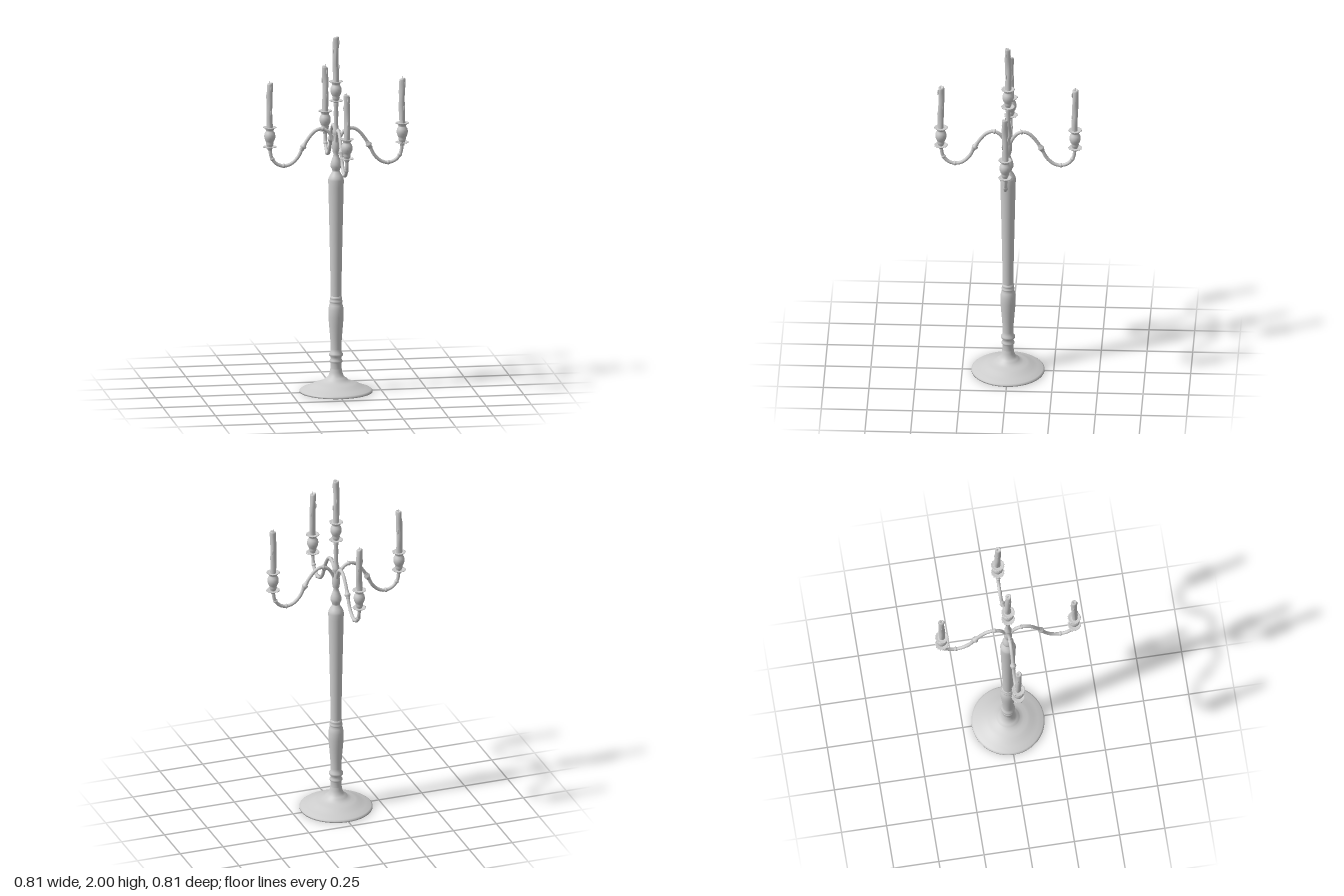
import * as THREE from 'three';

const metal = new THREE.MeshStandardMaterial({ color: 0xcccccc, side: THREE.DoubleSide });
const UP = new THREE.Vector3(0, 1, 0);

function add(parent, geometry, name) {
  const mesh = new THREE.Mesh(geometry, metal);
  mesh.name = name;
  parent.add(mesh);
  return mesh;
}

// Lathe from [radius, height] pairs listed bottom to top
function lathe(points, segments = 32) {
  return new THREE.LatheGeometry(points.map(([r, y]) => new THREE.Vector2(r, y)), segments);
}

// Moves every vertex by a rule
function reshape(geometry, rule) {
  const pos = geometry.attributes.position;
  const v = new THREE.Vector3();
  for (let i = 0; i < pos.count; i++) {
    rule(v.fromBufferAttribute(pos, i));
    pos.setXYZ(i, v.x, v.y, v.z);
  }
  geometry.computeVertexNormals();
  return geometry;
}

// Thin dish with a scalloped rim
function scallopedPan(radius) {
  const g = lathe([[0, -0.003], [radius * 0.6, -0.003], [radius, 0.001], [radius, 0.004],
    [radius * 0.85, 0.004], [radius * 0.6, 0.001], [0, 0.001]], 64);
  return reshape(g, (v) => {
    const r = Math.hypot(v.x, v.z);
    const k = 1 + 0.05 * Math.cos(16 * Math.atan2(v.z, v.x)) * (r / radius) ** 3;
    v.x *= k;
    v.z *= k;
  });
}

// Holder with two pans and a slightly melted candle; origin at the lower pan
function candleHolder(seed) {
  const group = new THREE.Group();
  group.name = 'candleHolder';
  add(group, lathe([[0, -0.015], [0.011, -0.015], [0.014, -0.004], [0.014, 0.004], [0.018, 0.012],
    [0.021, 0.022], [0.019, 0.028], [0.024, 0.036], [0.03, 0.052], [0.031, 0.066], [0.028, 0.08],
    [0.021, 0.09], [0.021, 0.096], [0.027, 0.106], [0.027, 0.11], [0, 0.11]], 24), 'socket');
  add(group, scallopedPan(0.036), 'lowerPan').position.y = 0.001;
  add(group, scallopedPan(0.036), 'upperPan').position.y = 0.109;

  // Candle with a rounded, uneven top
  const profile = [[0.0165, 0.108]];
  for (let i = 1; i <= 12; i++) profile.push([0.0165, 0.108 + i * 0.0203]);
  profile.push([0.015, 0.358], [0.011, 0.361], [0.006, 0.356], [0, 0.355]);
  const candle = reshape(lathe(profile, 20), (v) => {
    const a = Math.atan2(v.z, v.x);
    const k = 1 + 0.05 * Math.sin(3 * a + seed + v.y * 14) + 0.04 * Math.sin(2 * a - seed + v.y * 45);
    v.x = v.x * k + 0.002 * Math.sin(v.y * 16 + seed);
    v.z = v.z * k + 0.002 * Math.cos(v.y * 16 + seed);
    if (v.y > 0.35) v.y += 0.003 * Math.sin(a + seed);
  });
  add(group, candle, 'candle');
  for (let i = 0; i < 4; i++) {
    const a = seed + i * 2.1;
    const drip = add(group, new THREE.SphereGeometry(0.004, 8, 6), 'waxDrip');
    drip.scale.y = 4;
    drip.position.set(Math.cos(a) * 0.0165, 0.33 - i * 0.045, Math.sin(a) * 0.0165);
  }
  add(group, new THREE.CylinderGeometry(0.0012, 0.0015, 0.016, 6), 'wick').position.y = 0.364;
  return group;
}

// Curved arm reaching along +x with beads, a curl tip and a candle holder
function buildArm(seed) {
  const arm = new THREE.Group();
  arm.name = 'arm';
  const path = new THREE.CatmullRomCurve3([
    [0.006, 1.385], [0.022, 1.425], [0.05, 1.462], [0.085, 1.474], [0.12, 1.46], [0.155, 1.42],
    [0.185, 1.37], [0.212, 1.318], [0.25, 1.283], [0.29, 1.273], [0.33, 1.287], [0.357, 1.322],
    [0.367, 1.375],
  ].map(([x, y]) => new THREE.Vector3(x, y, 0)));
  add(arm, new THREE.TubeGeometry(path, 72, 0.0095, 10, false), 'armTube');

  const collar = lathe([[0.009, -0.024], [0.012, -0.018], [0.011, -0.011], [0.017, -0.004],
    [0.017, 0.004], [0.011, 0.011], [0.012, 0.018], [0.009, 0.024]], 14);
  const ring = lathe([[0.009, -0.008], [0.0125, -0.003], [0.0125, 0.003], [0.009, 0.008]], 12);
  for (const [t, geometry, name] of [[0.225, ring, 'ring'], [0.49, collar, 'collar'], [0.75, ring, 'ring'], [0.9, ring, 'ring']]) {
    const bead = add(arm, geometry, name);
    bead.position.copy(path.getPoint(t));
    bead.quaternion.setFromUnitVectors(UP, path.getTangent(t));
  }
  const curl = add(arm, new THREE.ConeGeometry(0.007, 0.032, 8), 'curlTip');
  curl.position.set(0.074, 1.481, 0);
  curl.rotation.z = 0.75;

  const holder = candleHolder(seed);
  holder.position.set(0.367, 1.38, 0);
  arm.add(holder);
  return arm;
}

export function createModel() {
  const model = new THREE.Group();
  model.name = 'candelabra';

  // Domed foot
  add(model, lathe([[0, 0], [0.2, 0], [0.2, 0.008], [0.192, 0.014], [0.165, 0.024], [0.14, 0.034],
    [0.122, 0.044], [0.105, 0.05], [0.085, 0.056], [0.066, 0.064], [0.062, 0.072], [0.05, 0.08],
    [0.04, 0.092], [0.034, 0.11], [0.031, 0.13]], 48), 'foot');

  // Turned lower shaft with rings and a vase-shaped swelling
  add(model, lathe([[0.031, 0.13], [0.03, 0.16], [0.035, 0.167], [0.035, 0.175], [0.03, 0.182],
    [0.031, 0.196], [0.038, 0.203], [0.038, 0.213], [0.031, 0.222], [0.029, 0.24], [0.032, 0.3],
    [0.038, 0.37], [0.042, 0.42], [0.042, 0.46], [0.037, 0.485], [0.032, 0.495], [0.036, 0.502],
    [0.036, 0.508], [0.031, 0.515], [0.034, 0.522], [0.034, 0.528], [0.029, 0.535]]), 'lowerShaft');

  // Long tapering column
  add(model, lathe([[0.029, 0.535], [0.03, 0.6], [0.034, 0.8], [0.038, 0.98], [0.042, 1.15],
    [0.043, 1.185], [0.04, 1.198], [0.033, 1.212], [0.026, 1.222], [0.02, 1.235]]), 'column');

  // Baluster above the column and the slim stem to the central holder
  add(model, lathe([[0.02, 1.235], [0.022, 1.245], [0.029, 1.258], [0.03, 1.275], [0.025, 1.295],
    [0.017, 1.315], [0.014, 1.33], [0.019, 1.345], [0.022, 1.365], [0.022, 1.39], [0.018, 1.41],
    [0.015, 1.43], [0.02, 1.445], [0.02, 1.458], [0.014, 1.475], [0.011, 1.5], [0.013, 1.56],
    [0.011, 1.59], [0.015, 1.605], [0.012, 1.625]], 24), 'stem');

  const centre = candleHolder(0.6);
  centre.position.y = 1.625;
  model.add(centre);

  // Four arms at right angles
  for (let i = 0; i < 4; i++) {
    const arm = buildArm(1 + i * 1.7);
    arm.rotation.y = i * Math.PI / 2;
    model.add(arm);
  }
  return model;
}
